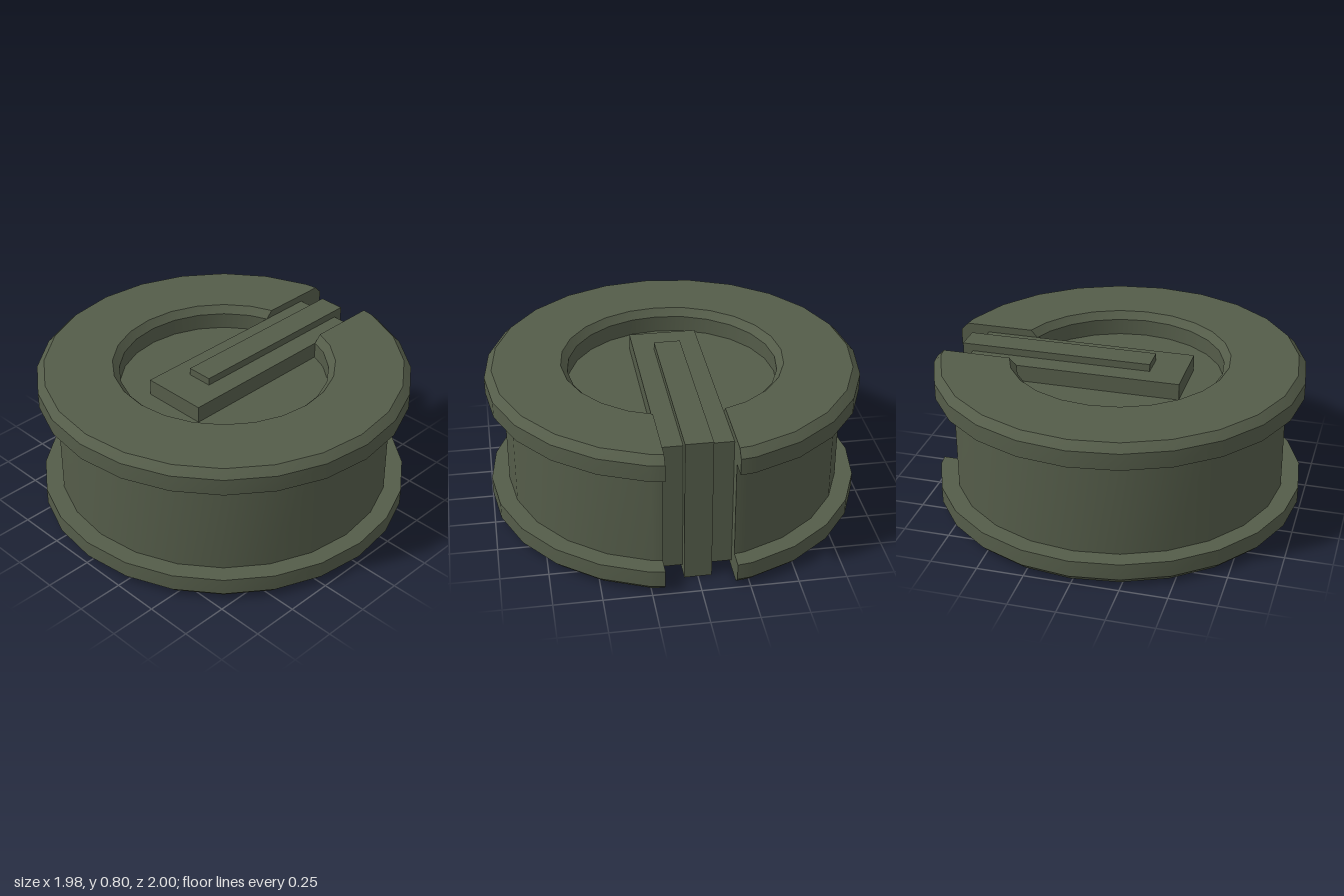
import * as THREE from 'three';
import { mergeGeometries } from 'three/addons/utils/BufferGeometryUtils.js';

const SIDES = 24;
const SLOT = 0.183; // half width of the slot on the +x side
const OFFSET = 0.012; // the slot trims the rim, so the round centre sits off x = 0

// Flanged spool section as (radius, y), counter-clockwise
const SECTION = [
  [0.56, 0.04], [0.595, 0], [0.96, 0], [1, 0.04], [1, 0.13], [0.905, 0.13],
  [0.905, 0.67], [1, 0.67], [1, 0.76], [0.96, 0.8], [0.595, 0.8], [0.56, 0.76],
];

const angle = (k) => (k * 2 * Math.PI) / SIDES;

// x where the regular polygon of radius r meets the slot wall
function slotX(r) {
  let k = 0;
  while (r * Math.sin(angle(k + 1)) < SLOT) k++;
  const z0 = r * Math.sin(angle(k)), z1 = r * Math.sin(angle(k + 1));
  const t = (SLOT - z0) / (z1 - z0);
  return r * THREE.MathUtils.lerp(Math.cos(angle(k)), Math.cos(angle(k + 1)), t);
}

// Open polygon running from one slot wall round to the other
function outline([r, y]) {
  const x = slotX(r);
  const points = [[x, y, SLOT]];
  for (let k = 1; k < SIDES; k++) {
    const px = r * Math.cos(angle(k)), pz = r * Math.sin(angle(k));
    const inSlot = px > 0 && Math.abs(pz) < SLOT;
    points.push(inSlot ? [x, y, Math.sign(pz) * SLOT] : [px, y, pz]);
  }
  points.push([x, y, -SLOT]);
  return points;
}

// One band between neighbouring section points, smooth around, sharp at its rims
function band(p, q) {
  const a = outline(p), b = outline(q), n = a.length, index = [];
  for (let i = 0; i < n - 1; i++) index.push(i, n + i, i + 1, n + i, n + i + 1, i + 1);
  const g = new THREE.BufferGeometry();
  g.setAttribute('position', new THREE.Float32BufferAttribute([...a, ...b].flat(), 3));
  g.setIndex(index);
  g.computeVertexNormals();
  return g;
}

// Flat end of the ring at a slot wall
function slotWall(side) {
  const contour = SECTION.map(([r, y]) => new THREE.Vector2(slotX(r), y));
  const index = THREE.ShapeUtils.triangulateShape(contour, [])
    .flatMap(([a, b, c]) => (side > 0 ? [a, c, b] : [a, b, c]));
  const g = new THREE.BufferGeometry();
  const positions = contour.flatMap((v) => [v.x, v.y, side * SLOT]);
  g.setAttribute('position', new THREE.Float32BufferAttribute(positions, 3));
  g.setIndex(index);
  g.computeVertexNormals();
  return g;
}

export function createModel() {
  const group = new THREE.Group();
  const olive = new THREE.MeshStandardMaterial({ color: 0x545c49 });
  olive.name = 'olive';

  const add = (name, geometry, x = 0, y = 0) => {
    const mesh = new THREE.Mesh(geometry, olive);
    mesh.name = name;
    mesh.position.set(x, y, 0);
    group.add(mesh);
  };
  const bar = (name, x0, x1, y0, y1, width) =>
    add(name, new THREE.BoxGeometry(x1 - x0, y1 - y0, width), (x0 + x1) / 2, (y0 + y1) / 2);

  // Slotted ring with a flange at each end
  const bands = SECTION.map((p, i) => band(p, SECTION[(i + 1) % SECTION.length]));
  add('flangedRing', mergeGeometries([...bands, slotWall(1), slotWall(-1)]), OFFSET);

  // Recessed hub; its quarter-turn keeps the corners in line with the ring
  add('hub', new THREE.CylinderGeometry(0.562, 0.562, 0.54, SIDES), OFFSET, 0.4);

  // Radial bar and the narrow ridge running over it
  bar('radialBar', -0.355, 0.825, 0.04, 0.76, 2 * SLOT);
  bar('ridge', -0.17, 0.88, 0, 0.8, 0.142);

  return group;
}
